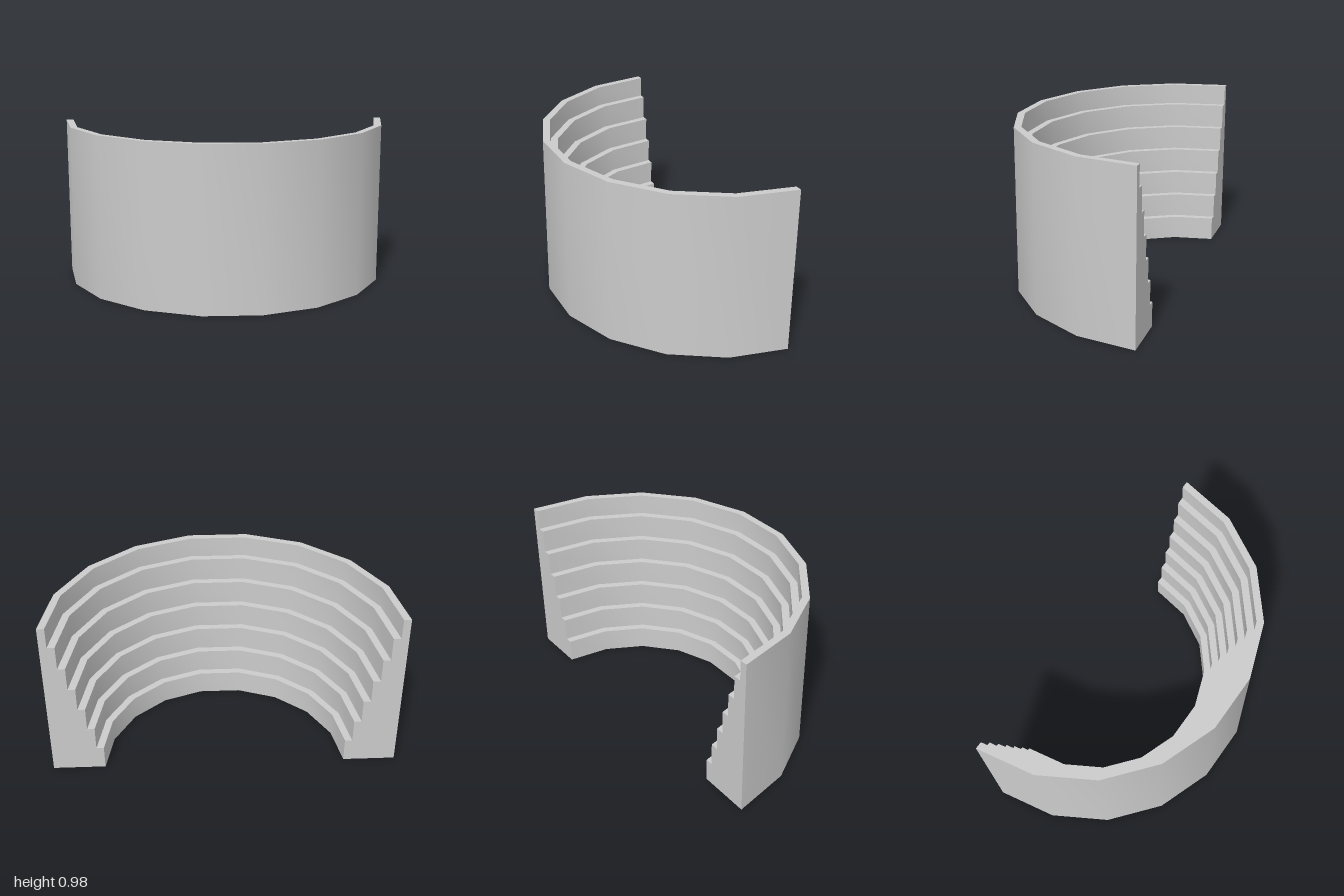
import * as THREE from 'three';
import { toCreasedNormals } from 'three/addons/utils/BufferGeometryUtils.js';

const OUTER = 1, INNER = 0.7, HEIGHT = 0.98, STEPS = 7;
const RISE = 1 / STEPS; // the top step is cut slightly short
const TREAD = (OUTER - INNER) / STEPS;
const Z_BACK = -0.4924;

// Stepped cross-section (radius, height), counter-clockwise from the outer foot
function steppedProfile() {
  const pts = [new THREE.Vector2(OUTER, 0), new THREE.Vector2(OUTER, HEIGHT)];
  for (let i = STEPS - 1; i >= 0; i--) {
    const r = INNER + i * TREAD;
    pts.push(new THREE.Vector2(r, Math.min((i + 1) * RISE, HEIGHT)));
    pts.push(new THREE.Vector2(r, i * RISE));
  }
  return pts;
}

export function createModel() {
  const model = new THREE.Group();
  model.name = 'steppedHalfRing';
  const material = new THREE.MeshStandardMaterial({ color: 0xcccccc });
  const profile = steppedProfile();

  // Curved body: half turn in nine segments, smooth around and sharp at the steps
  const lathe = new THREE.LatheGeometry([...profile, profile[0].clone()], 9, -Math.PI / 2, Math.PI);
  const body = new THREE.Mesh(toCreasedNormals(lathe, Math.PI / 6), material);
  body.name = 'steppedWall';
  body.position.z = Z_BACK;
  model.add(body);

  // Flat end faces looking backwards
  for (const side of [-1, 1]) {
    const shape = new THREE.Shape(profile.map(p => new THREE.Vector2(-side * p.x, p.y)));
    const cap = new THREE.Mesh(new THREE.ShapeGeometry(shape), material);
    cap.name = side > 0 ? 'leftEndFace' : 'rightEndFace';
    cap.rotation.y = Math.PI;
    cap.position.z = Z_BACK;
    model.add(cap);
  }
  return model;
}
